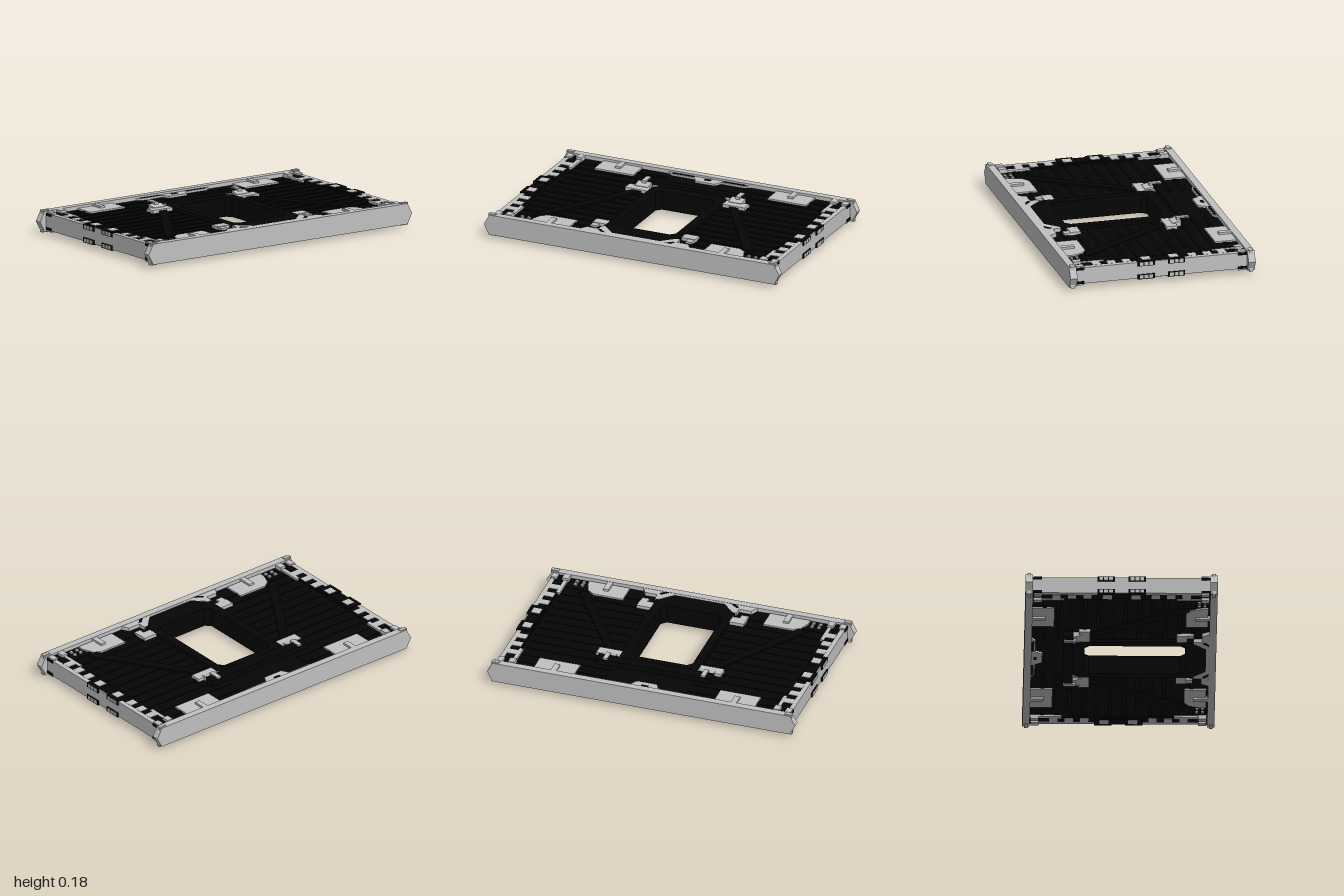
import * as THREE from 'three';

const grey = new THREE.MeshStandardMaterial({ color: 0xc0c0c0 });
grey.name = 'light grey';
const black = new THREE.MeshStandardMaterial({ color: 0x050505 });
black.name = 'black';

// Box given by its limits on each axis
function block(parent, name, mat, x0, x1, y0, y1, z0, z1) {
  const mesh = new THREE.Mesh(new THREE.BoxGeometry(x1 - x0, y1 - y0, z1 - z0), mat);
  mesh.position.set((x0 + x1) / 2, (y0 + y1) / 2, (z0 + z1) / 2);
  mesh.name = name;
  parent.add(mesh);
  return mesh;
}

// Flat slab with an outline in x, z and an optional hole
function slab(parent, name, mat, pts, y0, y1, hole) {
  const toV = (p) => new THREE.Vector2(p[0], -p[1]);
  const shape = new THREE.Shape(pts.map(toV));
  if (hole) shape.holes.push(new THREE.Path(hole.map(toV)));
  const geo = new THREE.ExtrudeGeometry(shape, { depth: y1 - y0, bevelEnabled: false });
  geo.rotateX(-Math.PI / 2).translate(0, y0, 0);
  const mesh = new THREE.Mesh(geo, mat);
  mesh.name = name;
  parent.add(mesh);
}

// Bar along x with a profile in z, y
function wedge(parent, name, mat, x0, x1, profile) {
  const shape = new THREE.Shape(profile.map(([z, y]) => new THREE.Vector2(-z, y)));
  const geo = new THREE.ExtrudeGeometry(shape, { depth: x1 - x0, bevelEnabled: false });
  geo.rotateY(Math.PI / 2).translate(x0, 0, 0);
  const mesh = new THREE.Mesh(geo, mat);
  mesh.name = name;
  parent.add(mesh);
}

// Rectangle with cut corners
function octagon(x, z0, z1, c) {
  return [[-x + c, z0], [x - c, z0], [x, z0 + c], [x, z1 - c],
    [x - c, z1], [-x + c, z1], [-x, z1 - c], [-x, z0 + c]];
}

// Wound opposite to the outlines so that its walls face inwards
const opening = octagon(0.2, -0.22, 0.4, 0.03).reverse();

// Everything fitted to one face; built twice, above and below
function buildFace() {
  const face = new THREE.Group();

  // deck ribs and raised frame around the opening
  for (let i = 0; i < 12; i++) {
    const z = -0.47 + i * 0.083;
    for (const s of [-1, 1]) {
      const m = block(face, 'deckRib', black, -0.29, 0.29, 0.036, 0.044, z - 0.012, z + 0.012);
      m.position.x = s * 0.55;
    }
  }
  slab(face, 'openingFrame', black, octagon(0.255, -0.3, 0.535, 0.05), 0.03, 0.061, opening);

  // raised rear bridge
  wedge(face, 'rearBridge', black, -0.375, 0.375,
    [[-0.29, 0.04], [-0.29, 0.081], [-0.335, 0.081], [-0.35, 0.076], [-0.35, 0.04]]);

  // rear centre catch
  slab(face, 'rearCatch', grey, [[-0.285, -0.548], [-0.245, -0.522], [-0.09, -0.522], [-0.065, -0.478],
    [0.065, -0.478], [0.09, -0.522], [0.245, -0.522], [0.285, -0.548]], 0.03, 0.052);
  for (const s of [-1, 1]) {
    const m = block(face, 'catchRecess', black, -0.075, 0.075, 0.05, 0.053, -0.547, -0.529);
    m.position.x = s * 0.172;
  }
  block(face, 'catchSlot', black, -0.022, 0.022, 0.05, 0.054, -0.532, -0.512);
  block(face, 'frontLip', grey, -0.17, 0.17, 0.03, 0.063, 0.528, 0.547);

  for (const s of [-1, 1]) {
    const bx = (name, mat, x0, x1, y0, y1, z0, z1) =>
      block(face, name, mat, Math.min(s * x0, s * x1), Math.max(s * x0, s * x1), y0, y1, z0, z1);
    const sl = (name, mat, pts, y0, y1) => slab(face, name, mat, pts.map(([x, z]) => [s * x, z]), y0, y1);

    // diagonal braces
    sl('diagonalBrace', black, [[0.29, -0.2], [0.35, -0.2], [0.74, 0.4], [0.68, 0.42]], 0.03, 0.052);

    // mounting plates with hinge bars
    bx('rearPlate', grey, 0.455, 0.717, 0.03, 0.05, -0.548, -0.41);
    bx('rearHingeBar', grey, 0.567, 0.602, 0.04, 0.063, -0.548, -0.465);
    sl('frontPlate', grey, [[0.455, 0.4], [0.645, 0.4], [0.69, 0.43], [0.717, 0.5], [0.717, 0.535], [0.455, 0.535]],
      0.03, 0.05);
    bx('frontHingeBar', grey, 0.567, 0.602, 0.04, 0.063, 0.455, 0.548);

    // latches beside the opening
    bx('rearLatchPlate', grey, 0.245, 0.405, 0.03, 0.06, -0.255, -0.187);
    wedge(face, 'rearLatchStep', grey, s * 0.317 - 0.045, s * 0.317 + 0.045,
      [[-0.235, 0.04], [-0.235, 0.063], [-0.29, 0.076], [-0.29, 0.04]]);
    bx('rearLatchBar', grey, 0.303, 0.332, 0.06, 0.088, -0.348, -0.27);
    sl('rearCornerTab', grey, [[0.225, -0.29], [0.26, -0.29], [0.26, -0.255]], 0.05, 0.063);
    bx('frontLatchPlate', grey, 0.245, 0.347, 0.03, 0.06, 0.345, 0.41);
    bx('frontLatchStep', grey, 0.3, 0.345, 0.03, 0.056, 0.41, 0.45);
    sl('frontCornerBrace', grey, [[0.37, 0.545], [0.345, 0.5], [0.265, 0.5], [0.265, 0.45], [0.24, 0.45],
      [0.16, 0.53], [0.16, 0.545]], 0.03, 0.063);
    sl('braceSlot', black, [[0.245, 0.505], [0.258, 0.518], [0.225, 0.545], [0.2, 0.545]], 0.06, 0.065);

    // toothed edge strip
    bx('edgeStrip', black, 0.86, 0.927, 0.03, 0.05, -0.545, 0.545);
    for (const z of [0.21, 0.305, 0.4]) {
      for (const e of [-1, 1]) bx('edgeTooth', grey, 0.868, 0.926, 0.04, 0.053, e * z - 0.025, e * z + 0.025);
    }
    bx('rearEdgeBar', grey, 0.845, 0.868, 0.03, 0.053, -0.545, -0.35);
    bx('frontEdgeBar', grey, 0.845, 0.868, 0.03, 0.053, 0.34, 0.535);
    for (const e of [-1, 1]) {
      const z = e * 0.515;
      bx('cornerClip', grey, 0.84, 0.88, 0.04, 0.067, z - 0.025, z + 0.025);
      bx('cornerClamp', grey, 0.915, 0.953, 0.03, 0.062, z - 0.024, z + 0.024);
      bx('cornerPatch', black, 0.93, 0.957, 0.036, 0.053, e * 0.52 - 0.03, e * 0.52 + 0.03);
      bx('railLatch', grey, 0.925, 0.975, 0.04, 0.07, e * 0.568 - 0.012, e * 0.568 + 0.012);
    }

    // side hinge blocks with grey windows
    bx('hingeCentre', black, 0.875, 0.945, 0.03, 0.056, -0.05, 0.05);
    for (const e of [-1, 1]) {
      const z = e * 0.096;
      bx('hingeBlock', black, 0.868, 0.96, 0.027, 0.058, z - 0.054, z + 0.054);
      bx('hingeWindow', grey, 0.88, 0.935, 0.05, 0.06, e * 0.088 - 0.028, e * 0.088 + 0.028);
      for (let i = -1; i <= 1; i++) {
        bx('hingeTooth', grey, 0.955, 0.962, 0.031, 0.053, z + i * 0.03 - 0.012, z + i * 0.03 + 0.012);
      }
    }

    // small studs near the front corners
    for (const x of [0.745, 0.79]) {
      for (const z of [0.48, 0.515]) bx('stud', grey, x - 0.01, x + 0.01, 0.03, 0.05, z - 0.009, z + 0.009);
    }
  }
  return face;
}

export function createModel() {
  const model = new THREE.Group();
  const body = new THREE.Group();
  body.name = 'panel';
  body.position.y = 0.088;
  model.add(body);

  // core deck
  slab(body, 'deck', black, [[-0.93, -0.55], [0.93, -0.55], [0.93, 0.55], [-0.93, 0.55]], -0.04, 0.04, opening);

  // side walls
  for (const s of [-1, 1]) {
    const wall = block(body, 'sideWall', grey, -0.014, 0.014, -0.052, 0.052, -0.55, 0.55);
    wall.position.x = s * 0.94;
  }

  // front and rear rails with pointed ends
  const railShape = new THREE.Shape([[-1, 0], [-0.965, -0.065], [0.965, -0.065], [1, 0], [0.965, 0.065], [-0.965, 0.065]]
    .map((p) => new THREE.Vector2(...p)));
  const railGeo = new THREE.ExtrudeGeometry(railShape, { depth: 0.045, bevelEnabled: false });
  for (const z of [0.545, -0.59]) {
    const rail = new THREE.Mesh(railGeo, grey);
    rail.position.z = z;
    rail.name = z > 0 ? 'frontRail' : 'rearRail';
    body.add(rail);
  }

  // matching fittings above and below
  const top = buildFace();
  top.name = 'topFace';
  const bottom = buildFace();
  bottom.name = 'bottomFace';
  bottom.rotation.z = Math.PI;
  body.add(top, bottom);
  return model;
}
